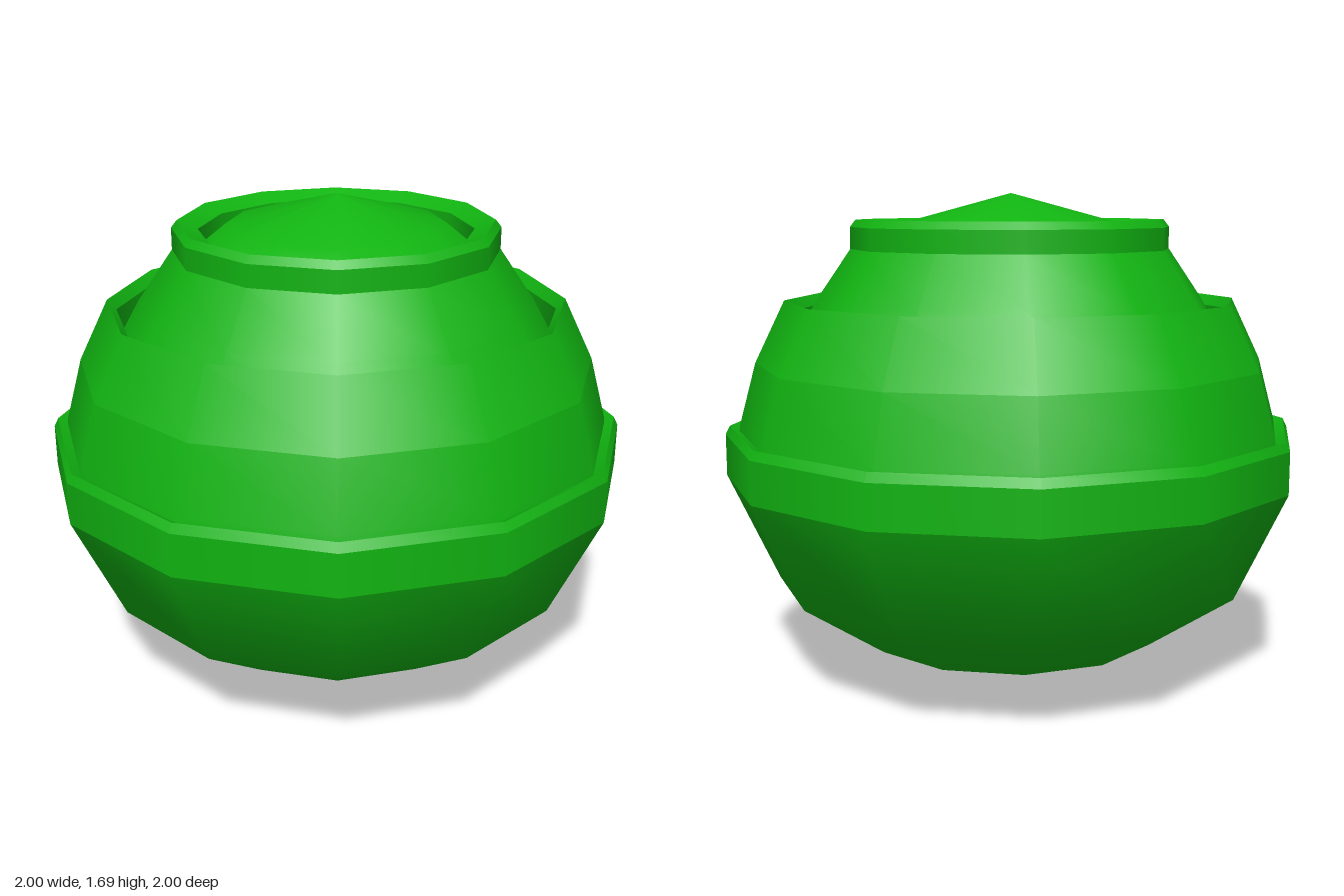
import * as THREE from 'three';
import { mergeGeometries } from 'three/addons/utils/BufferGeometryUtils.js';

const SIDES = 12;
const material = new THREE.MeshStandardMaterial({ color: 0x11b411, side: THREE.DoubleSide });

// Each strip of [radius, height] points is smooth; edges between strips stay sharp.
function shell(name, strips) {
  const lathes = strips.map((points) =>
    new THREE.LatheGeometry(points.map(([r, y]) => new THREE.Vector2(r, y)), SIDES));
  const mesh = new THREE.Mesh(mergeGeometries(lathes), material);
  mesh.name = name;
  return mesh;
}

export function createModel() {
  const group = new THREE.Group();
  group.name = 'layeredBud';

  // Outer cup: pointed base, bowl, upright band and thin rim
  group.add(shell('outerCup', [
    [[0, 0], [0.53, 0.14]],
    [[0.53, 0.14], [0.825, 0.34], [1, 0.715]],
    [[1, 0.715], [1, 0.86]],
    [[1, 0.86], [0.985, 0.89]],
    [[0.985, 0.89], [0.95, 0.87]],
  ]));

  // Middle cup: two sloping bands with a lip turned inward
  group.add(shell('middleCup', [
    [[0.96, 0.8], [0.95, 0.89], [0.89, 1.11]],
    [[0.89, 1.11], [0.785, 1.325]],
    [[0.785, 1.325], [0.755, 1.29]],
    [[0.755, 1.29], [0.755, 1.15]],
  ]));

  // Inner cup: shoulder, collar, bevelled rim and mouth wall
  group.add(shell('innerCup', [
    [[0.79, 1.12], [0.675, 1.325], [0.555, 1.5]],
    [[0.555, 1.5], [0.555, 1.575]],
    [[0.555, 1.575], [0.535, 1.6]],
    [[0.535, 1.6], [0.465, 1.57]],
    [[0.465, 1.57], [0.465, 1.45]],
  ]));

  // Core: low dome filling the mouth
  group.add(shell('coreDome', [
    [[0.53, 1.46], [0.37, 1.59], [0, 1.69]],
  ]));

  return group;
}
